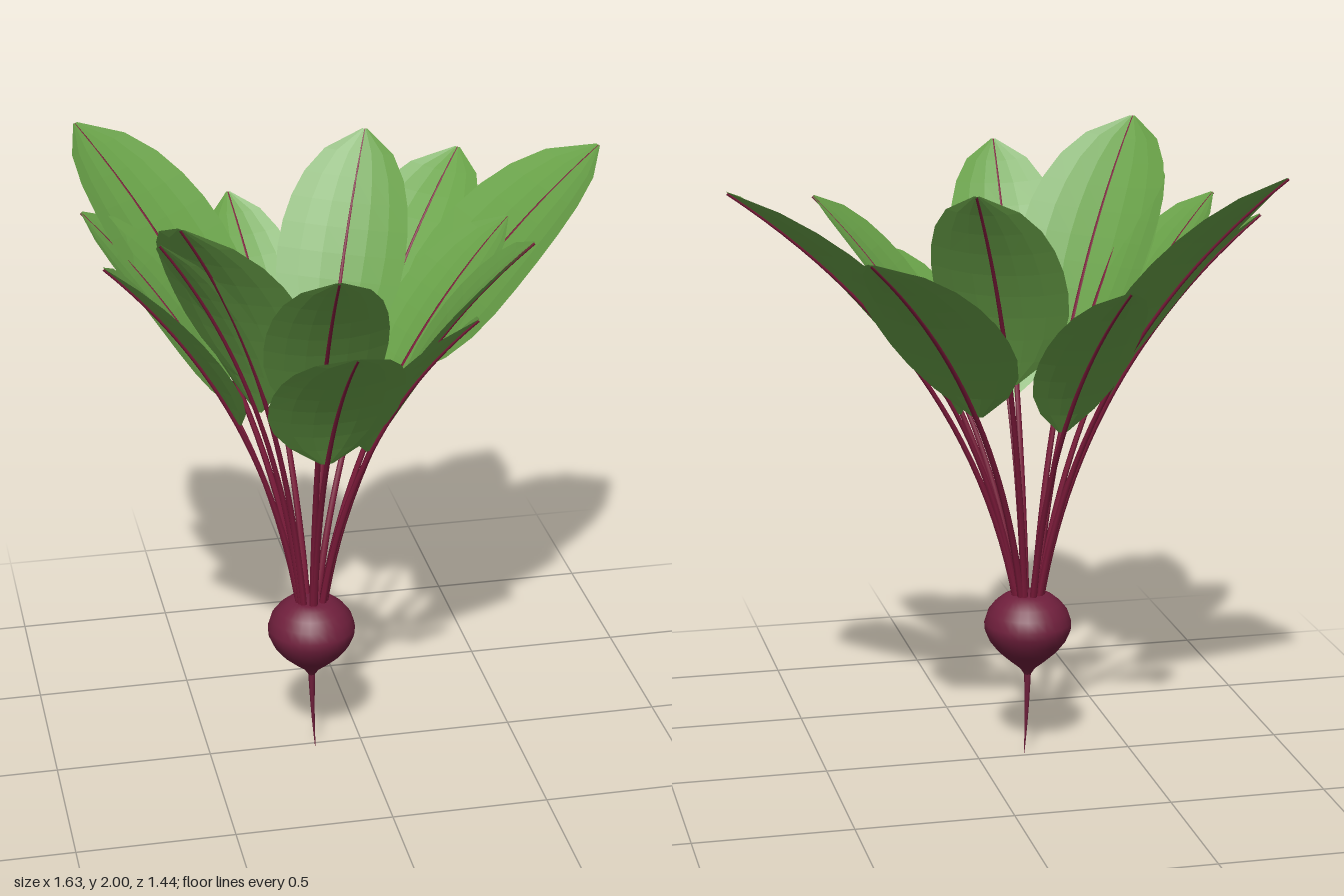
import * as THREE from 'three';

const beetRed = new THREE.MeshStandardMaterial({ color: 0x6f1f3c });
beetRed.name = 'beet red';
const stemRed = new THREE.MeshStandardMaterial({ color: 0x7c1a3a });
stemRed.name = 'stem crimson';
const leafGreen = new THREE.MeshStandardMaterial({ color: 0x6aa349, side: THREE.DoubleSide });
leafGreen.name = 'leaf green';

const CENTRE = new THREE.Vector3(-0.165, 0, 0.02);

// tip x, tip y, tip z, blade width
const LEAVES = [
  [-0.79, 1.97, -0.62, 0.49],
  [-0.82, 1.80, -0.27, 0.39],
  [-0.81, 1.79, 0.19, 0.37],
  [-0.62, 2.00, 0.47, 0.49],
  [-0.66, 1.90, 0.32, 0.35],
  [-0.21, 1.90, 0.72, 0.37],
  [-0.15, 1.65, 0.69, 0.41],
  [0.27, 1.63, 0.42, 0.39],
  [0.47, 1.81, 0.29, 0.41],
  [0.51, 1.72, -0.18, 0.39],
  [0.81, 1.92, -0.22, 0.56],
  [0.47, 1.78, -0.69, 0.45],
  [0.12, 1.93, -0.50, 0.42],
  [-0.29, 1.67, -0.72, 0.31],
];
// half-width of the blade along its length, base to tip
const OUTLINE = [0.1, 0.58, 0.85, 0.97, 1, 0.98, 0.91, 0.78, 0.54, 0.04];

// Arching midline from the crown to the leaf tip
function midline(dir, reach, tipY) {
  const at = (r, y) => CENTRE.clone().addScaledVector(dir, r).setY(y);
  const rise = tipY - 0.52;
  return new THREE.QuadraticBezierCurve3(
    at(0.04, 0.52), at(0.04 + 0.17 * reach, 0.52 + rise * 0.6), at(reach, tipY));
}

// Stem that thins towards the tip and runs on as the midrib
function stemGeometry(curve) {
  const rings = 24, sides = 6;
  const geo = new THREE.TubeGeometry(curve, rings, 0.012, sides);
  const pos = geo.attributes.position, v = new THREE.Vector3();
  for (let i = 0; i <= rings; i++) {
    const c = curve.getPointAt(i / rings);
    for (let j = 0; j <= sides; j++) {
      const k = i * (sides + 1) + j;
      v.fromBufferAttribute(pos, k).sub(c).multiplyScalar(1 - 0.68 * i / rings).add(c);
      pos.setXYZ(k, v.x, v.y, v.z);
    }
  }
  return geo;
}

// Cupped, faceted blade lofted along the outer part of the midline
function bladeGeometry(curve, dir, width) {
  const rows = OUTLINE.length - 1, cols = 6, start = 0.49;
  const side = new THREE.Vector3(-dir.z, 0, dir.x);
  const pts = [], index = [];
  OUTLINE.forEach((w, i) => {
    const t = start + (1 - start) * i / rows;
    const c = curve.getPoint(t);
    const normal = side.clone().cross(curve.getTangent(t)).normalize();
    if (normal.y < 0) normal.negate();
    for (let j = 0; j <= cols; j++) {
      const u = j / cols * 2 - 1, half = w * width / 2;
      const p = c.clone().addScaledVector(side, u * half)
        .addScaledVector(normal, 0.003 + 0.17 * half * u * u);
      pts.push(p.x, p.y, p.z);
      if (i < rows && j < cols) {
        const a = i * (cols + 1) + j, b = a + cols + 1;
        index.push(a, a + 1, b, a + 1, b + 1, b);
      }
    }
  });
  const geo = new THREE.BufferGeometry();
  geo.setAttribute('position', new THREE.Float32BufferAttribute(pts, 3));
  geo.setIndex(index);
  const flat = geo.toNonIndexed();
  flat.computeVertexNormals();
  return flat;
}

function addMesh(parent, name, geo, mat) {
  const mesh = new THREE.Mesh(geo, mat);
  mesh.name = name;
  parent.add(mesh);
  return mesh;
}

export function createModel() {
  const model = new THREE.Group();
  model.name = 'beetroot';

  // Turnip-shaped bulb with a flat crown
  const profile = [[0.01, 0.27], [0.025, 0.293], [0.058, 0.32], [0.097, 0.355], [0.124, 0.39], [0.139, 0.425],
    [0.14, 0.45], [0.129, 0.485], [0.107, 0.513], [0.08, 0.535], [0.058, 0.545], [0, 0.546]]
    .map(([r, y]) => new THREE.Vector2(r, y));
  addMesh(model, 'bulb', new THREE.LatheGeometry(profile, 28), beetRed)
    .position.set(CENTRE.x, 0, CENTRE.z);

  // Thin tap root, leaning slightly at its tip
  const root = new THREE.CylinderGeometry(0.012, 0.001, 0.29, 8, 5);
  root.translate(0, 0.145, 0);
  const rp = root.attributes.position;
  for (let i = 0; i < rp.count; i++) {
    rp.setX(i, rp.getX(i) + 0.01 * (1 - rp.getY(i) / 0.29) ** 2);
  }
  root.computeVertexNormals();
  addMesh(model, 'tapRoot', root, beetRed).position.set(CENTRE.x, 0, CENTRE.z);

  // Ring of stems, each carrying one blade
  for (const [x, y, z, width] of LEAVES) {
    const dir = new THREE.Vector3(x - CENTRE.x, 0, z - CENTRE.z);
    const reach = dir.length();
    dir.normalize();
    const curve = midline(dir, reach, y);
    const leaf = new THREE.Group();
    leaf.name = 'leaf';
    addMesh(leaf, 'stem', stemGeometry(curve), stemRed);
    addMesh(leaf, 'blade', bladeGeometry(curve, dir, width), leafGreen);
    model.add(leaf);
  }
  return model;
}
